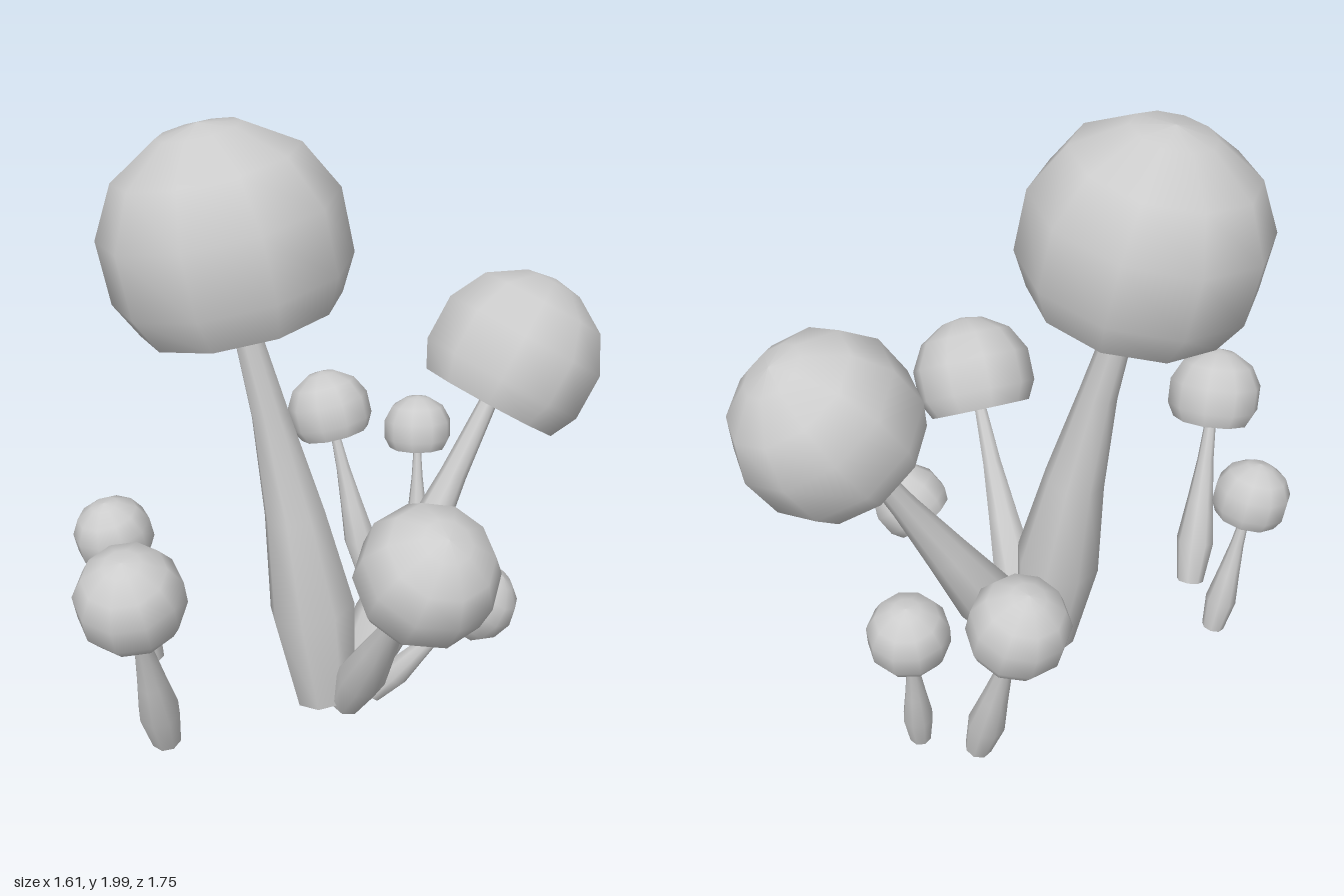
import * as THREE from 'three';

const grey = new THREE.MeshStandardMaterial({ color: 0xcccccc });
grey.name = 'pale grey';

// Unit profiles: cap as [radius, height], stalk as [height, radius]
const CAP = [[0.84, -0.58], [1, -0.27], [1, 0.27], [0.77, 0.69], [0.35, 0.95], [0, 1.01]];
const STALK = [[0, 0.72], [0.25, 1], [0.5, 0.7], [0.75, 0.43], [1, 0.28]];

function part(name, geometry) {
  const mesh = new THREE.Mesh(geometry, grey);
  mesh.name = name;
  return mesh;
}

function lathe(points, sides) {
  return new THREE.LatheGeometry(points.map(([r, y]) => new THREE.Vector2(r, y)), sides);
}

// Flat disc facing down, its corners lined up with the lathed wall
function disc(radius, sides, y) {
  return new THREE.CircleGeometry(radius, sides, Math.PI / 2).rotateX(Math.PI / 2).translate(0, y, 0);
}

function mushroom({ name, base, centre, axis, capRadius, stalkRadius, bend = 0 }) {
  const group = new THREE.Group();
  group.name = name;
  const up = new THREE.Vector3(0, 1, 0);
  const foot = new THREE.Vector3(...base);
  const middle = new THREE.Vector3(...centre);
  const dir = axis ? new THREE.Vector3(...axis) : middle.clone().sub(foot);
  dir.normalize();

  // Cap: rounded dome with a flat underside
  const cap = new THREE.Group();
  cap.name = 'cap';
  cap.add(part('capDome', lathe(CAP.map(([r, y]) => [r * capRadius, y * capRadius]), 10)));
  cap.add(part('capUnderside', disc(CAP[0][0] * capRadius, 10, CAP[0][1] * capRadius)));
  cap.position.copy(middle);
  cap.quaternion.setFromUnitVectors(up, dir);
  group.add(cap);

  // Stalk: swollen near the foot, thin at the cap, optionally bowed along x
  const top = middle.clone().addScaledVector(dir, CAP[0][1] * capRadius * 0.98);
  const span = top.clone().sub(foot);
  const length = span.length();
  const wall = lathe(STALK.map(([t, r]) => [r * stalkRadius, t * length]), 8);
  const pos = wall.attributes.position;
  for (let i = 0; i < pos.count; i++) {
    pos.setX(i, pos.getX(i) + bend * Math.sin(Math.PI * pos.getY(i) / length));
  }
  const stalk = new THREE.Group();
  stalk.name = 'stalk';
  stalk.add(part('stalkWall', wall));
  stalk.add(part('stalkFoot', disc(STALK[0][1] * stalkRadius, 8, 0)));
  stalk.position.copy(foot);
  stalk.quaternion.setFromUnitVectors(up, span.normalize());
  group.add(stalk);
  return group;
}

export function createModel() {
  const model = new THREE.Group();
  model.name = 'mushroomCluster';
  [
    // Central clump
    { name: 'tallMushroom', base: [-0.015, 0.045, 0.075], centre: [-0.315, 1.62, 0.075], axis: [-0.2, 0.98, 0], capRadius: 0.375, stalkRadius: 0.145, bend: 0.03 },
    { name: 'backLeftMushroom', base: [0.06, 0.04, 0.03], centre: [0.515, 1.125, -0.43], axis: [0.4, 0.83, -0.38], capRadius: 0.29, stalkRadius: 0.105 },
    { name: 'frontLeftMushroom', base: [0.065, 0.045, 0.1], centre: [0.38, 0.805, 0.48], capRadius: 0.21, stalkRadius: 0.08 },
    { name: 'sideMushroom', base: [0.155, 0.085, 0.095], centre: [0.485, 0.495, 0.095], axis: [0.66, 0.75, 0], capRadius: 0.128, stalkRadius: 0.048 },
    // Pair at the back
    { name: 'rearSmallMushroom', base: [0.18, 0.15, -0.64], centre: [0.15, 0.67, -0.755], capRadius: 0.122, stalkRadius: 0.048 },
    { name: 'rearMushroom', base: [0, 0.12, -0.6], centre: [-0.17, 0.735, -0.7], capRadius: 0.15, stalkRadius: 0.06 },
    // Pair at the right front
    { name: 'frontRightMushroom', base: [-0.45, 0.08, 0.475], centre: [-0.45, 0.75, 0.705], capRadius: 0.162, stalkRadius: 0.068 },
    { name: 'rightSmallMushroom', base: [-0.597, 0.16, 0.15], centre: [-0.677, 0.67, 0.228], capRadius: 0.125, stalkRadius: 0.052 },
  ].forEach((spec) => model.add(mushroom(spec)));
  return model;
}
